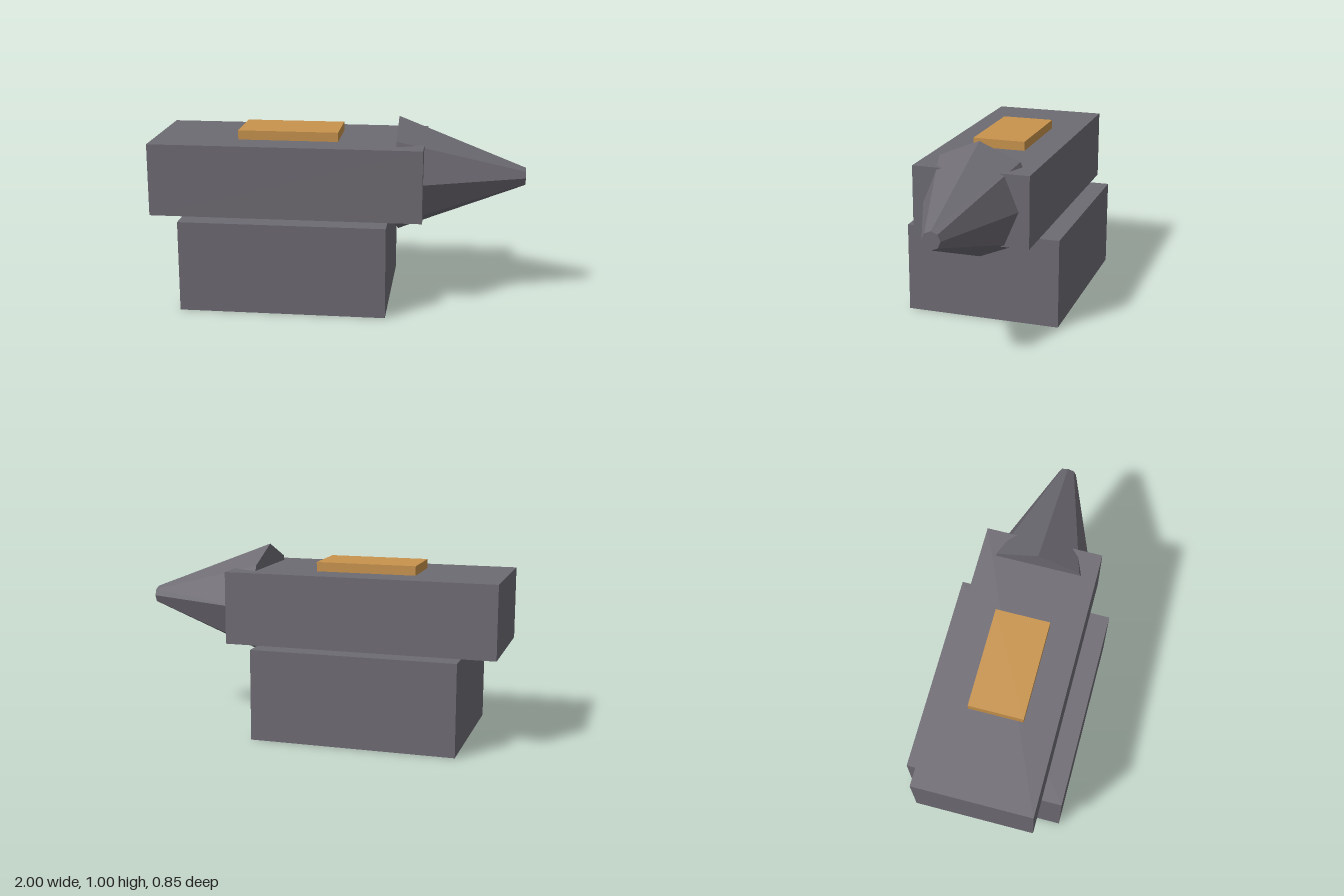
import * as THREE from 'three';

const iron = new THREE.MeshStandardMaterial({ color: 0x6e6b73 });
iron.name = 'iron grey';
const brass = new THREE.MeshStandardMaterial({ color: 0xc8934c });
brass.name = 'brass';

// Box given by its lower and upper limits in x and y, and its half depth
function block(name, x0, x1, y0, y1, halfZ, material) {
  const mesh = new THREE.Mesh(new THREE.BoxGeometry(x1 - x0, y1 - y0, halfZ * 2), material);
  mesh.position.set((x0 + x1) / 2, (y0 + y1) / 2, 0);
  mesh.name = name;
  return mesh;
}

export function createModel() {
  const anvil = new THREE.Group();
  anvil.name = 'anvil';

  // Base, body and the brass plate lying on top
  anvil.add(
    block('base', -0.82, 0.28, 0, 0.49, 0.426, iron),
    block('body', -1, 0.46, 0.49, 0.88, 0.317, iron),
    block('topPlate', -0.54, 0, 0.88, 0.93, 0.146, brass)
  );

  // Eight-sided tapered horn pointing along +x
  const x0 = 0.316, x1 = 1;
  const hornGeometry = new THREE.CylinderGeometry(0.048, 0.316, x1 - x0, 8).toNonIndexed();
  hornGeometry.rotateZ(-Math.PI / 2);
  hornGeometry.computeVertexNormals();
  const horn = new THREE.Mesh(hornGeometry, iron);
  horn.position.set((x0 + x1) / 2, 0.684, 0);
  horn.name = 'horn';
  anvil.add(horn);

  return anvil;
}
